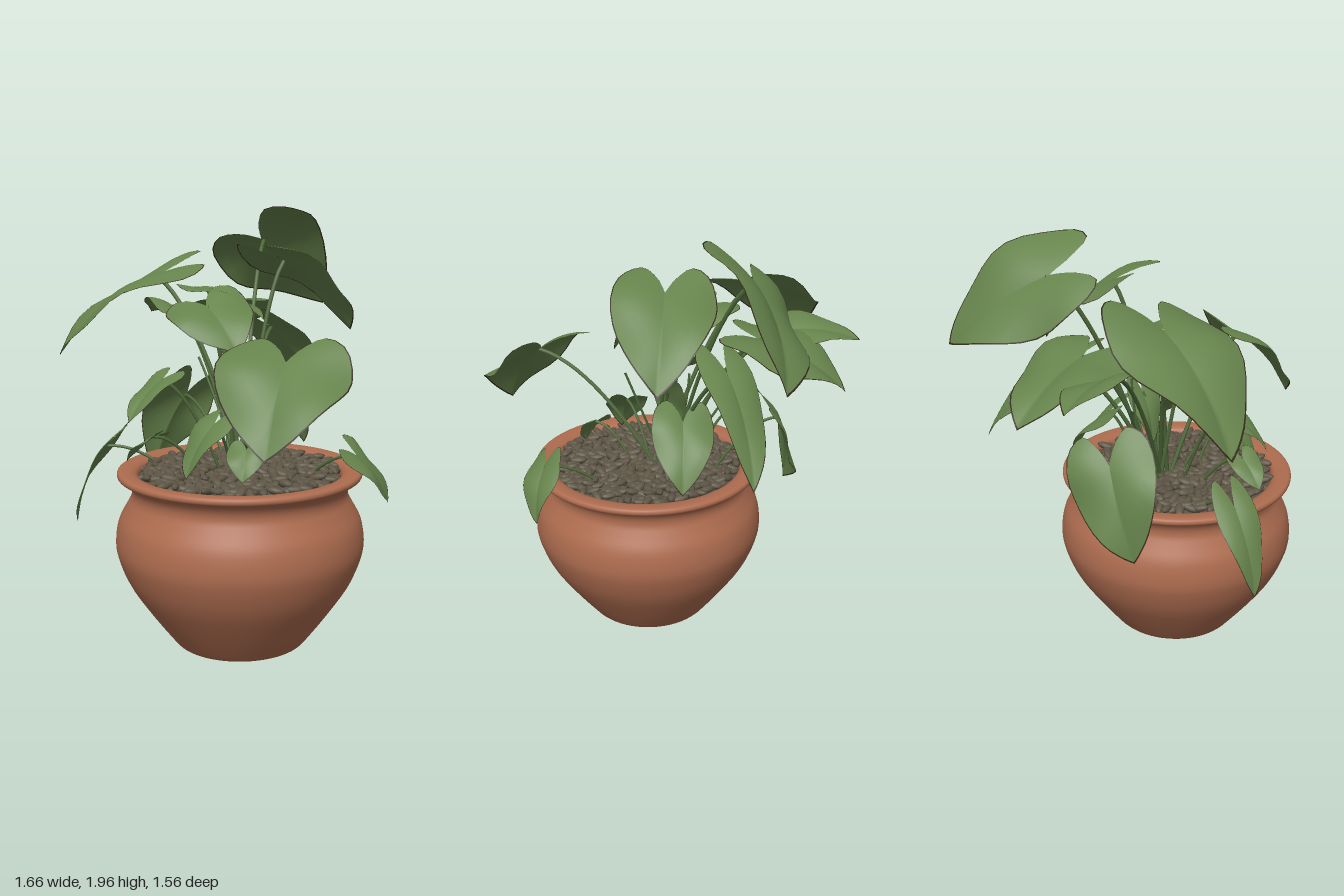
import * as THREE from 'three';
import { mergeGeometries } from 'three/addons/utils/BufferGeometryUtils.js';

const V = (x, y, z) => new THREE.Vector3(x, y, z);
const profile = (points) => points.map(([x, y]) => new THREE.Vector2(x, y));
const material = (name, color, side = THREE.FrontSide) => {
  const m = new THREE.MeshStandardMaterial({ color, side });
  m.name = name;
  return m;
};

// Small seeded random generator
let seed = 7;
const rand = () => {
  seed = (seed * 16807) % 2147483647;
  return seed / 2147483647;
};

// Half outline of a heart-shaped leaf: x runs stalk to tip, y across
const half = new THREE.SplineCurve(profile([
  [-0.04, 0], [-0.22, 0.18], [-0.37, 0.5], [-0.24, 0.86], [0.08, 1],
  [0.4, 0.87], [0.72, 0.52], [0.91, 0.2], [1, 0],
])).getPoints(20);
const outline = [...half, ...half.slice(1, -1).reverse().map((p) => new THREE.Vector2(p.x, -p.y))];

// Leaf blade: rings of the outline shrunk to the stalk joint, arched and rippled,
// with a narrow outermost ring in a second material group for the dry edge
function leafGeometry(base, tip, width, roll, phase) {
  const along = tip.clone().sub(base);
  const size = along.length();
  const axis = along.clone().normalize();
  const side = axis.clone().cross(V(0, 1, 0)).normalize().applyAxisAngle(axis, -roll);
  const up = side.clone().cross(axis);
  const rings = 8, n = outline.length, pos = [], index = [];
  for (let r = 0; r <= rings; r++) {
    const scale = r === rings ? 1 : 0.98 * r / (rings - 1);
    for (const o of outline) {
      const a = o.x * scale, b = o.y * scale;
      const h = size * 0.3 * a * (1 - a)
        + width * (0.3 * Math.abs(b) - 0.35 * b * b + 0.13 * b * Math.sin(6 * a + phase));
      const p = base.clone().addScaledVector(along, a)
        .addScaledVector(side, b * width).addScaledVector(up, h);
      pos.push(p.x, p.y, p.z);
    }
  }
  for (let r = 0; r < rings; r++) {
    for (let j = 0; j < n; j++) {
      const a = r * n + j, b = r * n + (j + 1) % n;
      if (r > 0) index.push(a, b, a + n);
      index.push(b, b + n, a + n);
    }
  }
  const g = new THREE.BufferGeometry();
  g.setAttribute('position', new THREE.Float32BufferAttribute(pos, 3));
  g.setIndex(index);
  g.addGroup(0, index.length - 6 * n, 0);
  g.addGroup(index.length - 6 * n, 6 * n, 1);
  g.computeVertexNormals();
  return g;
}

// Each leaf: stalk joint x y z, tip x y z, half width, roll about its midrib
const LEAVES = [
  // tall leaves
  [-0.21, 1.8, -0.33, -0.17, 1.47, -0.78, 0.26, 0.76],
  [0.11, 1.71, -0.09, 0.25, 1.38, -0.43, 0.23, 0.06],
  [-0.42, 1.64, 0.21, -0.79, 1.26, 0.5, 0.28, 0.13],
  [-0.16, 1.58, 0.13, 0.11, 1.45, 0.05, 0.16, 0.15],
  [0, 1.52, 0.31, 0.23, 1.33, 0.36, 0.19, -0.35],
  [-0.32, 1.49, -0.16, -0.64, 1.28, -0.37, 0.24, -0.05],
  [-0.49, 1.47, 0, -0.82, 1.43, -0.14, 0.145, -0.27],
  [-0.12, 1.38, -0.28, -0.1, 1, -0.65, 0.13, 0.3],
  // broad leaf leaning over the rim
  [0.57, 1.33, 0.48, 0.68, 1, 0.74, 0.27, 0.06],
  // hanging leaves
  [-0.46, 1.04, -0.02, -0.57, 0.65, 0.1, 0.2, -0.93],
  [-0.44, 0.87, 0.52, -0.55, 0.51, 0.62, 0.095, -0.11],
  [0.65, 0.9, 0.07, 0.72, 0.68, -0.06, 0.11, -0.58],
  // low leaves
  [0.15, 1.03, 0.44, 0.14, 0.82, 0.6, 0.105, -0.1],
  [-0.14, 1.2, 0.46, -0.16, 1.03, 0.64, 0.09, 0],
  [0.32, 0.94, 0.42, 0.36, 0.82, 0.49, 0.085, 0],
  [-0.11, 0.96, 0.54, -0.2, 0.85, 0.62, 0.075, -0.26],
  [0.03, 1.1, -0.1, 0.09, 0.83, -0.28, 0.145, 0.1],
  [0.05, 1.2, 0.06, 0.01, 0.95, 0.11, 0.085, 0],
];

export function createModel() {
  const group = new THREE.Group();
  const terracotta = material('terracotta', 0xad6c4f);
  const pebble = material('pebble brown', 0x5e5646);
  const leafGreen = material('leaf green', 0x66834c, THREE.DoubleSide);
  const edgeBrown = material('dry edge brown', 0x33291c, THREE.DoubleSide);
  const stemGreen = material('stem green', 0x4f6a3a);
  const add = (name, geometry, mat, parent = group) => {
    const mesh = new THREE.Mesh(geometry, mat);
    mesh.name = name;
    parent.add(mesh);
    return mesh;
  };

  // Pot with a rolled rim and a recessed foot
  const pot = new THREE.Group();
  pot.name = 'pot';
  pot.position.set(0.11, 0, 0.22);
  group.add(pot);
  const wall = new THREE.SplineCurve(profile([
    [0.31, 0.01], [0.4, 0.13], [0.5, 0.28], [0.55, 0.4], [0.562, 0.48], [0.547, 0.57],
    [0.51, 0.64], [0.488, 0.685], [0.49, 0.725], [0.515, 0.76], [0.543, 0.77], [0.551, 0.785],
    [0.543, 0.8], [0.515, 0.803], [0.475, 0.795], [0.455, 0.77], [0.45, 0.7],
  ])).getPoints(64);
  const foot = profile([[0, 0.03], [0.27, 0.03], [0.285, 0], [0.3, 0]]);
  add('potBody', new THREE.LatheGeometry([...foot, ...wall], 64), terracotta, pot);

  // Soil disc covered by elongated pebbles in a spiral spread
  const soil = add('soil', new THREE.CircleGeometry(0.46, 48), pebble, pot);
  soil.rotation.x = -Math.PI / 2;
  soil.position.y = 0.762;
  const stones = [];
  const count = 460;
  for (let i = 0; i < count; i++) {
    const r = 0.44 * Math.sqrt((i + 0.5) / count), a = i * 2.39996;
    const s = 0.9 + 0.35 * rand();
    const g = new THREE.SphereGeometry(1, 8, 6);
    g.scale(0.038 * s, 0.015 * s, 0.018 * s);
    g.rotateZ((rand() - 0.5) * 0.7);
    g.rotateY(rand() * Math.PI);
    g.translate(r * Math.cos(a), 0.77 + 0.026 * rand(), r * Math.sin(a));
    stones.push(g);
  }
  add('pebbles', mergeGeometries(stones), pebble, pot);

  // Leaves on arching stalks; the lower the leaf, the further out its stalk is rooted
  const crown = V(0.03, 0.76, 0.14);
  LEAVES.forEach(([bx, by, bz, tx, ty, tz, width, roll], i) => {
    const plant = new THREE.Group();
    plant.name = 'leafAndStalk';
    group.add(plant);
    const base = V(bx, by, bz);
    const blade = leafGeometry(base, V(tx, ty, tz), width, roll, i * 1.7);
    add('leaf', blade, [leafGreen, edgeBrown], plant);
    const start = crown.clone().lerp(base, THREE.MathUtils.clamp(1.45 - by, 0, 0.5));
    start.set(start.x + (rand() - 0.5) * 0.1, crown.y, start.z + (rand() - 0.5) * 0.1);
    const bend = start.clone().lerp(base, 0.55);
    bend.y = start.y + (by - start.y) * 0.85 + 0.03;
    const path = new THREE.QuadraticBezierCurve3(start, bend, base);
    add('stalk', new THREE.TubeGeometry(path, 16, by > 1.3 ? 0.01 : 0.007, 6), stemGreen, plant);
  });

  // Young shoots rising from the crown
  for (const [x, y, z] of [[0.24, 1.3, 0.12], [-0.3, 1.25, 0.05], [-0.04, 1.3, 0.02], [0.12, 1.15, 0.02]]) {
    const path = new THREE.QuadraticBezierCurve3(crown, V(x * 0.6, 1.05, z), V(x, y, z));
    add('shoot', new THREE.TubeGeometry(path, 12, 0.006, 6), stemGreen);
  }
  return group;
}
